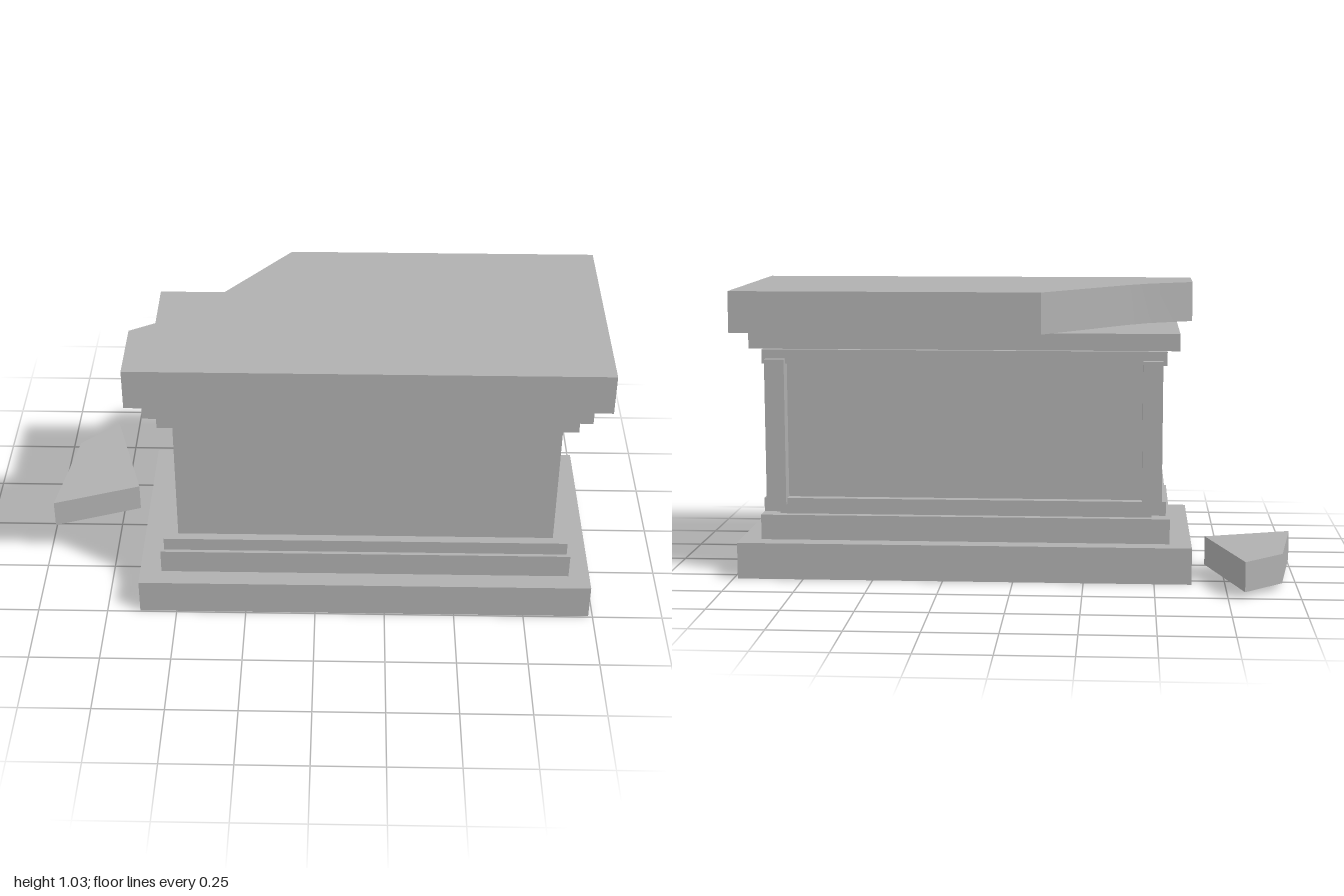
import * as THREE from 'three';
import { toCreasedNormals } from 'three/addons/utils/BufferGeometryUtils.js';

export function createModel() {
  const group = new THREE.Group();
  const stone = new THREE.MeshStandardMaterial({ color: 0xb0b0b0 });
  stone.name = 'grey stone';

  const add = (name, geometry) => {
    const mesh = new THREE.Mesh(geometry, stone);
    mesh.name = name;
    group.add(mesh);
    return mesh;
  };

  // Box given by its limits on each axis
  const block = (name, x0, x1, y0, y1, z0, z1) =>
    add(name, new THREE.BoxGeometry(x1 - x0, y1 - y0, z1 - z0))
      .position.set((x0 + x1) / 2, (y0 + y1) / 2, (z0 + z1) / 2);

  // Upright prism over an outline of [x, z] points
  const prism = (name, outline, y0, y1) => {
    const shape = new THREE.Shape(outline.map(([x, z]) => new THREE.Vector2(x, -z)));
    const geometry = new THREE.ExtrudeGeometry(shape, { depth: y1 - y0, bevelEnabled: false });
    geometry.rotateX(-Math.PI / 2).translate(0, y0, 0);
    add(name, toCreasedNormals(geometry, 0.5));
  };

  // Stepped base
  block('base', -0.632, 0.985, 0, 0.13, -0.308, 0.495);
  block('plinth', -0.555, 0.91, 0.13, 0.22, -0.24, 0.428);

  // Chest with a moulding at foot and head
  block('chest', -0.49, 0.845, 0.22, 0.823, -0.21, 0.4);
  block('lowerMoulding', -0.54, 0.895, 0.234, 0.283, -0.245, 0.432);
  block('upperMoulding', -0.54, 0.895, 0.768, 0.818, -0.245, 0.432);

  // Corner posts at the back
  block('leftPost', 0.812, 0.882, 0.262, 0.785, -0.27, -0.2);
  block('rightPost', -0.525, -0.455, 0.262, 0.785, -0.27, -0.2);

  // Cornice and lid with a broken corner
  block('cornice', -0.583, 0.936, 0.823, 0.883, -0.27, 0.457);
  prism('lid', [
    [-0.641, 0.482], [0.996, 0.482], [0.996, -0.318], [-0.1, -0.318],
    [-0.395, 0.053], [-0.476, 0.134], [-0.641, 0.23],
  ], 0.883, 1.029);

  // Fallen piece of the lid
  prism('fragment', [
    [-0.808, -0.492], [-0.945, -0.353], [-1, 0.035], [-0.686, -0.077],
  ], 0.021, 0.126);

  return group;
}
